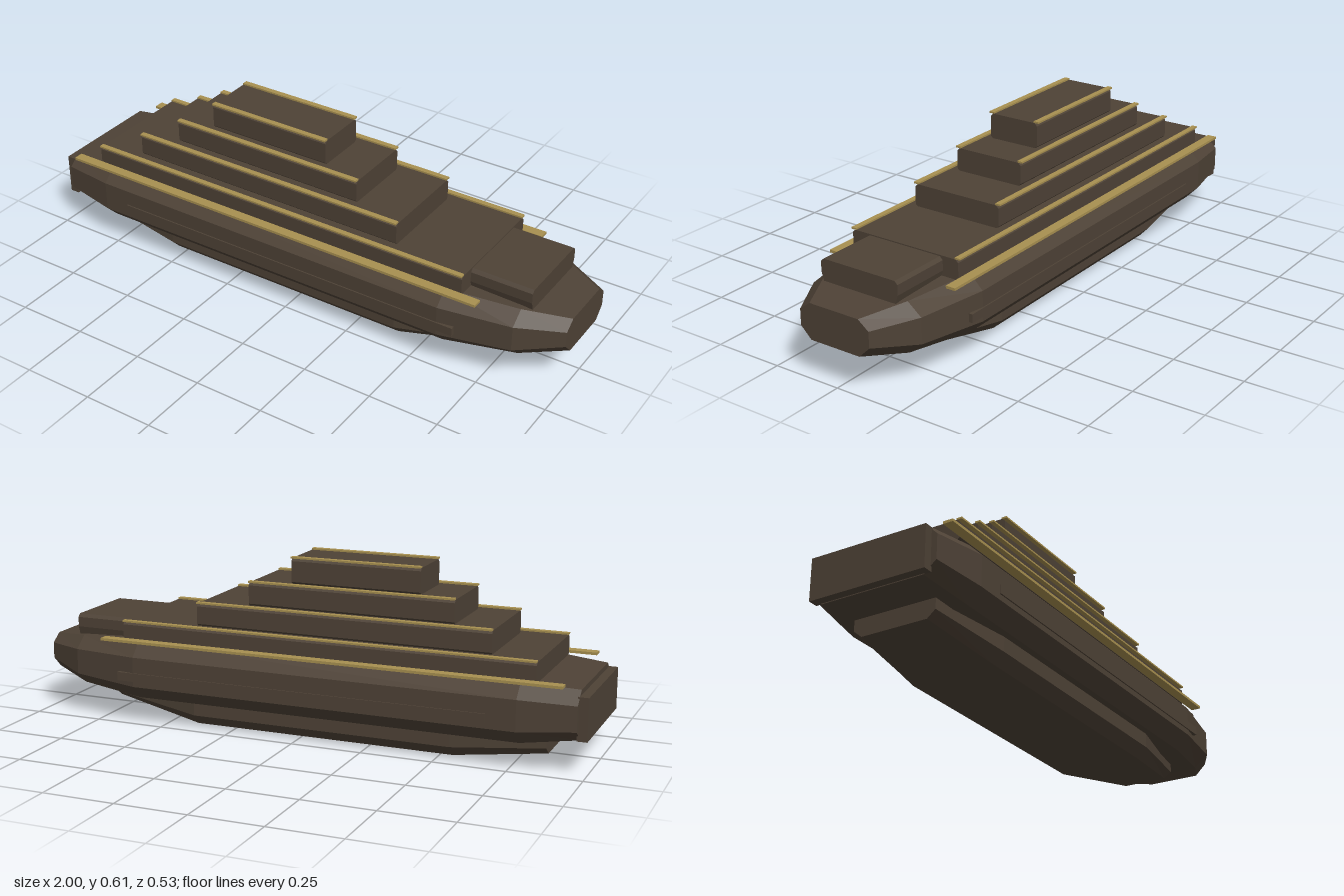
import * as THREE from 'three';

const hullBrown = new THREE.MeshStandardMaterial({ color: 0x4e4236, flatShading: true });
hullBrown.name = 'hull brown';
const trimGold = new THREE.MeshStandardMaterial({ color: 0xa89050, flatShading: true });
trimGold.name = 'trim gold';

// Lofts chamfered sections along x: [x, halfWidth, flatHalfWidth, bottom, lowerChamfer, upperChamfer, top]
function loft(sections) {
  const rings = sections.map(([x, w, f, y0, y1, y2, y3]) =>
    [[f, y3], [w, y2], [w, y1], [f, y0], [-f, y0], [-w, y1], [-w, y2], [-f, y3]]
      .map(([z, y]) => [x, y, z]));
  const pos = [];
  const tri = (a, b, c) => pos.push(...a, ...b, ...c);
  for (let i = 0; i < rings.length - 1; i++) {
    for (let j = 0; j < 8; j++) {
      const k = (j + 1) % 8, p = rings[i], q = rings[i + 1];
      tri(p[j], p[k], q[k]);
      tri(p[j], q[k], q[j]);
    }
  }
  const first = rings[0], last = rings[rings.length - 1];
  for (let j = 1; j < 7; j++) {
    tri(last[0], last[j], last[j + 1]);
    tri(first[0], first[j + 1], first[j]);
  }
  const g = new THREE.BufferGeometry();
  g.setAttribute('position', new THREE.Float32BufferAttribute(pos, 3));
  g.computeVertexNormals();
  return g;
}

export function createModel() {
  const ship = new THREE.Group();
  ship.name = 'ship';

  const add = (name, geometry, material) => {
    const mesh = new THREE.Mesh(geometry, material);
    mesh.name = name;
    ship.add(mesh);
  };
  const box = (name, material, x0, x1, y0, y1, z0, z1) =>
    add(name, new THREE.BoxGeometry(x1 - x0, y1 - y0, z1 - z0)
      .translate((x0 + x1) / 2, (y0 + y1) / 2, (z0 + z1) / 2), material);
  const pair = (name, material, x0, x1, y0, y1, z0, z1) => {
    box(name + 'Left', material, x0, x1, y0, y1, z0, z1);
    box(name + 'Right', material, x0, x1, y0, y1, -z1, -z0);
  };

  // Main hull, tapering to a blunt bow at +x
  add('hull', loft([
    [-0.97, 0.23, 0.185, 0.112, 0.15, 0.235, 0.278],
    [-0.78, 0.26, 0.212, 0.088, 0.137, 0.243, 0.291],
    [0.60, 0.26, 0.212, 0.088, 0.137, 0.243, 0.291],
    [0.85, 0.216, 0.165, 0.107, 0.15, 0.24, 0.281],
    [1.0, 0.136, 0.096, 0.137, 0.176, 0.232, 0.262],
  ]), hullBrown);
  box('sternPlate', hullBrown, -1, -0.965, 0.115, 0.26, -0.21, 0.21);

  // Keel under the hull
  add('keel', loft([
    [-0.855, 0.15, 0.12, 0.035, 0.06, 0.11, 0.125],
    [-0.54, 0.188, 0.153, 0, 0.037, 0.1, 0.125],
    [0.40, 0.188, 0.153, 0, 0.037, 0.1, 0.125],
    [0.75, 0.11, 0.082, 0.05, 0.07, 0.1, 0.125],
  ]), hullBrown);

  // Stepped decks, each with a gold rail along both edges
  const tiers = [
    [-0.83, 0.66, 0.285, 0.357, 0.212],
    [-0.67, 0.39, 0.354, 0.436, 0.17],
    [-0.53, 0.21, 0.433, 0.517, 0.13],
    [-0.40, 0.065, 0.514, 0.606, 0.095],
  ];
  tiers.forEach(([x0, x1, y0, y1, w], i) => {
    const c = 0.01;
    const section = (x) => [x, w, w - c, y0, y0 + c, y1 - c, y1];
    add('deck' + (i + 1), loft([section(x0), section(x1)]), hullBrown);
    pair('deckRail' + (i + 1), trimGold, x0, x1, y1, y1 + 0.006, w - 0.013, w + 0.006);
  });
  const fore = (x) => [x, 0.152, 0.141, 0.27, 0.307, 0.342, 0.353];
  add('foredeck', loft([fore(0.65), fore(0.88)]), hullBrown);

  // Wide gold ledge and raised strake along the hull sides
  pair('hullLedge', trimGold, -0.925, 0.73, 0.291, 0.30, 0.217, 0.252);
  pair('strake', hullBrown, -0.68, 0.66, 0.157, 0.187, 0.25, 0.2645);

  return ship;
}
